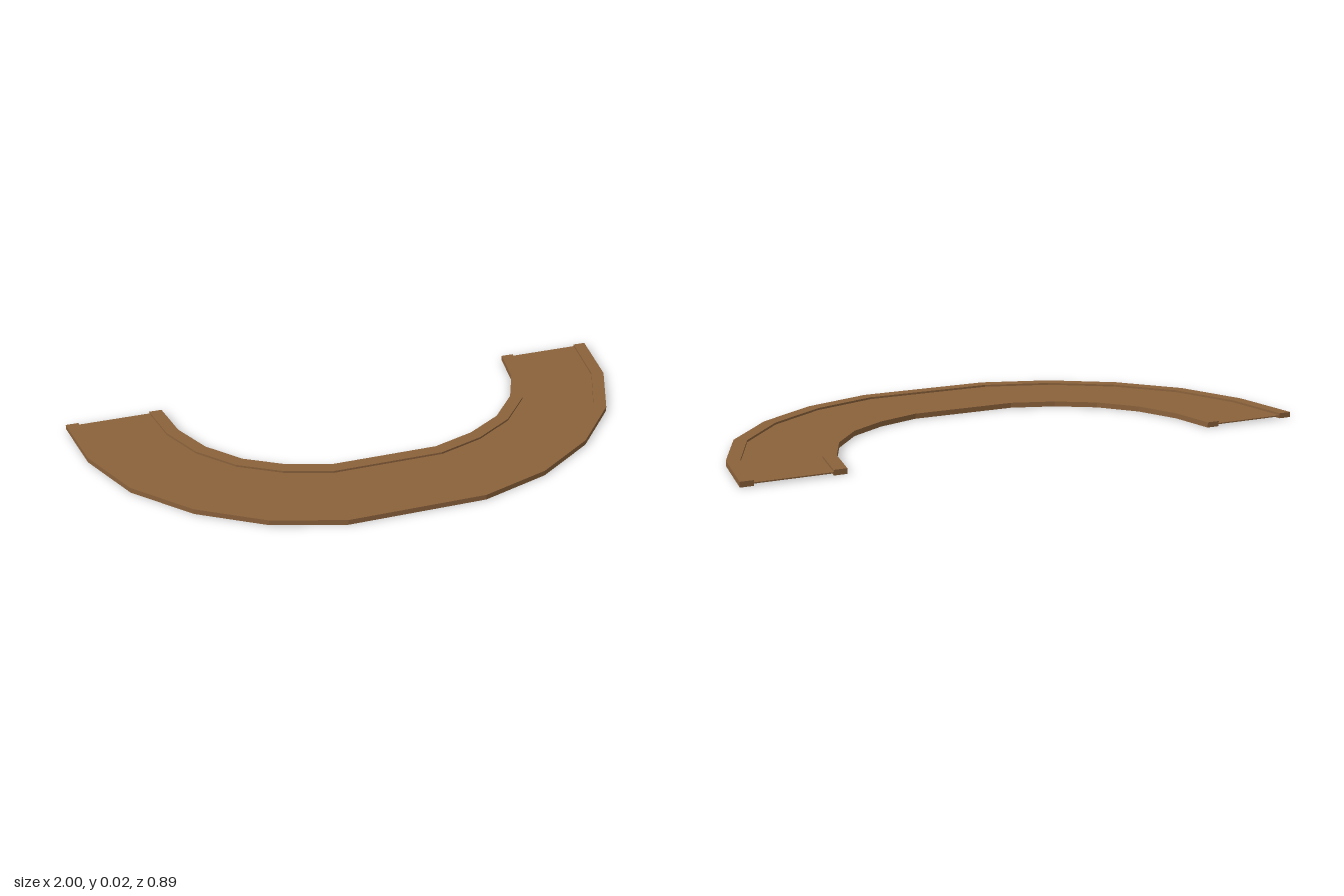
import * as THREE from 'three';

// Half outlines [x, z] from the back end to the front middle
const OUTER = [[1, -0.447], [0.965, -0.2], [0.865, 0.035], [0.695, 0.228], [0.48, 0.369], [0.238, 0.447]];
const INNER = [[0.657, -0.447], [0.631, -0.29], [0.567, -0.147], [0.466, -0.028], [0.337, 0.052], [0.187, 0.102]];
const RIM = 0.13; // share of the width taken by each rim

// Full curve at share t of the way from the inner to the outer edge
function curveAt(t) {
  const half = INNER.map(([x, z], i) => [
    x + (OUTER[i][0] - x) * t,
    z + (OUTER[i][1] - z) * t,
  ]);
  const mirrored = half.map(([x, z]) => [-x, z]).reverse();
  return [...half, ...mirrored];
}

// Flat curved band between two shares of the width and two heights
function band(name, t0, t1, y0, y1, material) {
  const outline = [...curveAt(t1), ...curveAt(t0).reverse()];
  const shape = new THREE.Shape(outline.map(([x, z]) => new THREE.Vector2(x, -z)));
  const geometry = new THREE.ExtrudeGeometry(shape, { depth: y1 - y0, bevelEnabled: false });
  geometry.rotateX(-Math.PI / 2);
  geometry.translate(0, y0, 0);
  const mesh = new THREE.Mesh(geometry, material);
  mesh.name = name;
  return mesh;
}

export function createModel() {
  const wood = new THREE.MeshStandardMaterial({ color: 0x8b623b });
  wood.name = 'brown wood';

  const model = new THREE.Group();
  model.name = 'curvedTrack';
  // Thin bed held at mid height between two taller rims
  model.add(
    band('bed', RIM, 1 - RIM, 0.007, 0.011, wood),
    band('innerRim', 0, RIM, 0, 0.018, wood),
    band('outerRim', 1 - RIM, 1, 0, 0.018, wood),
  );
  return model;
}
